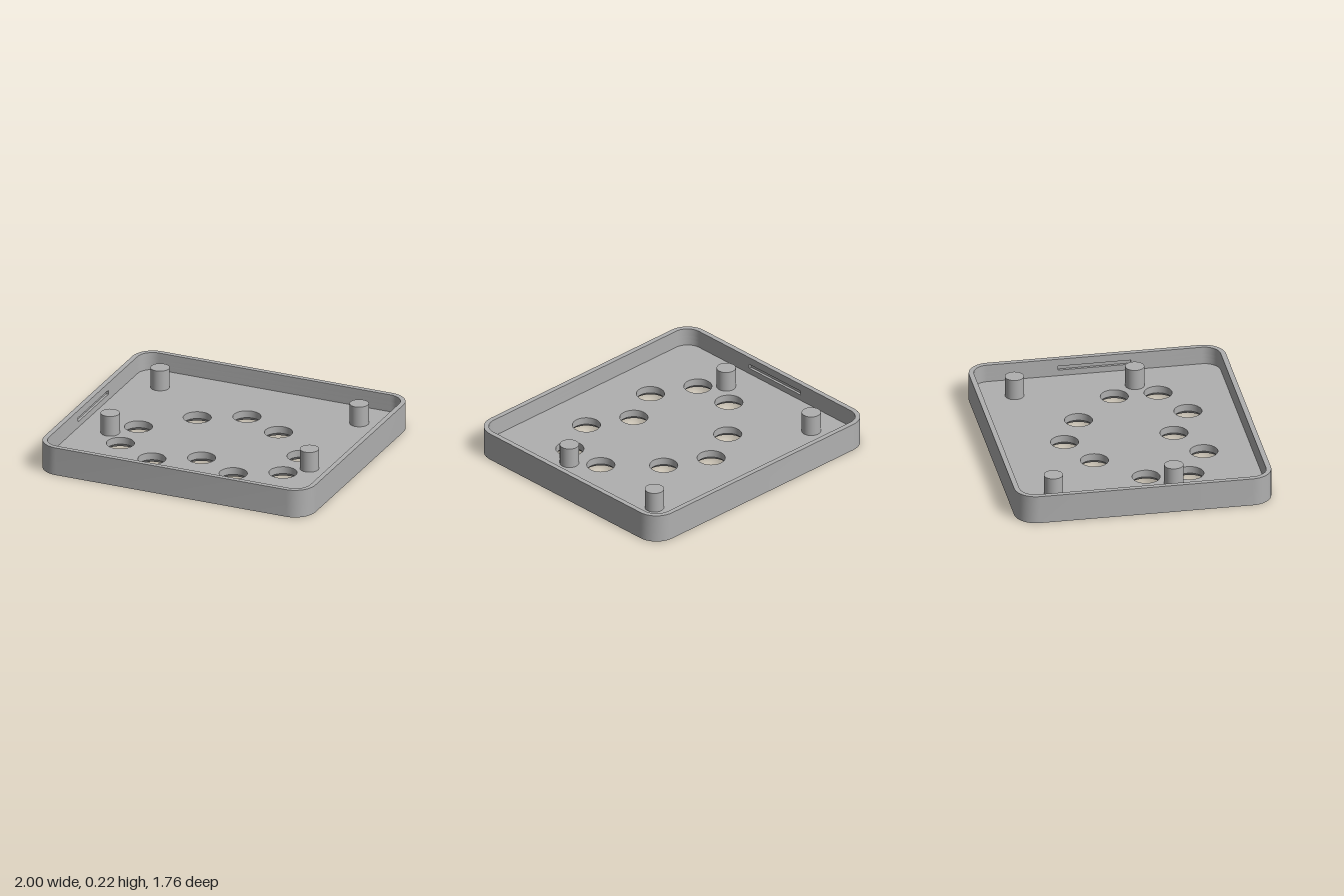
import * as THREE from 'three';
import { mergeGeometries, toCreasedNormals } from 'three/addons/utils/BufferGeometryUtils.js';

const HEIGHT = 0.2, FLOOR = 0.075, CHAMFER = 0.025;
const INNER_X = 0.965, GROOVE_Z = 0.25, GROOVE_Y = [0.117, 0.147], GROOVE_DEPTH = 0.018;

// Rounded rectangle in the x-z plane, with extra points at the groove ends
function roundedLoop(hx, hz, r) {
  const pts = [];
  [[1, 1], [-1, 1], [-1, -1], [1, -1]].forEach(([sx, sz], k) => {
    for (let i = 0; i <= 10; i++) {
      const a = (k + i / 10) * Math.PI / 2;
      pts.push(new THREE.Vector2(sx * (hx - r) + r * Math.cos(a), sz * (hz - r) + r * Math.sin(a)));
    }
    if (k % 2) pts.push(new THREE.Vector2(sx * hx, sz * GROOVE_Z), new THREE.Vector2(sx * hx, -sz * GROOVE_Z));
  });
  return pts;
}

function circleLoop([x, z], r, n = 40) {
  return Array.from({ length: n }, (_, i) => {
    const a = i / n * Math.PI * 2;
    return new THREE.Vector2(x + r * Math.cos(a), z + r * Math.sin(a));
  });
}

const at = (loop, y) => loop.map(p => new THREE.Vector3(p.x, y, p.y));

// Band of faces joining two matching closed loops; faces outward when a is below b
function skin(a, b, keep = () => true) {
  const pos = [];
  a.forEach((p, i) => {
    const j = (i + 1) % a.length;
    if (!keep(p, a[j], i)) return;
    for (const v of [p, b[i], a[j], a[j], b[i], b[j]]) pos.push(v.x, v.y, v.z);
  });
  const g = new THREE.BufferGeometry();
  g.setAttribute('position', new THREE.Float32BufferAttribute(pos, 3));
  return toCreasedNormals(g, 0.5);
}

// Horizontal face with holes
function cap(outline, holes, y, up) {
  const shape = new THREE.Shape(outline);
  shape.holes = holes.map(h => new THREE.Path(h));
  const g = new THREE.ShapeGeometry(shape).rotateX(Math.PI / 2).translate(0, y, 0);
  if (up) g.index.array.reverse();
  g.computeVertexNormals();
  return g;
}

export function createModel() {
  const model = new THREE.Group();
  model.name = 'enclosureTray';
  const grey = new THREE.MeshStandardMaterial({ color: 0xb0b0b0 });
  grey.name = 'grey plastic';
  const add = (name, geometry) => {
    const mesh = new THREE.Mesh(geometry, grey);
    mesh.name = name;
    model.add(mesh);
    return mesh;
  };

  const outer = roundedLoop(1, 0.88, 0.15);
  const inner = roundedLoop(INNER_X, 0.845, 0.11);
  const holes = [[0, -0.38], [0, 0.37]];
  for (const s of [-1, 1]) holes.push([s * 0.3, -0.23], [s * 0.6, 0.07], [s * 0.6, 0.37], [s * 0.3, 0.52]);

  // Walls and rim
  add('outerWall', skin(at(outer, 0), at(outer, HEIGHT)));
  add('rim', cap(outer, [inner], HEIGHT, true));
  const levels = [FLOOR, ...GROOVE_Y, HEIGHT];
  const inGroove = (p, q) => Math.max(Math.abs(p.z), Math.abs(q.z)) < GROOVE_Z + 0.001 && p.x === q.x;
  add('innerWall', mergeGeometries([0, 1, 2].map(k =>
    skin(at(inner, levels[k + 1]), at(inner, levels[k]), (p, q) => k !== 1 || !inGroove(p, q)))));

  // Shallow snap groove inside each side wall
  for (const s of [-1, 1]) {
    const rect = x => [[0, -1], [0, 1], [1, 1], [1, -1]].map(([k, e]) =>
      new THREE.Vector3(s * x, GROOVE_Y[k], s * e * GROOVE_Z));
    const open = rect(INNER_X), deep = rect(INNER_X + GROOVE_DEPTH);
    add(s > 0 ? 'leftGroove' : 'rightGroove', mergeGeometries([
      skin(deep, open),
      skin([deep[3], deep[2]], [deep[0], deep[1]], (p, q, i) => i === 0),
    ]));
  }

  // Floor plate with through holes chamfered on the underside
  add('floor', cap(inner, holes.map(h => circleLoop(h, 0.095)), FLOOR, true));
  add('underside', cap(outer, holes.map(h => circleLoop(h, 0.118)), 0, false));
  for (const h of holes) {
    const bore = circleLoop(h, 0.095);
    add('holeBore', skin(at(bore, FLOOR), at(bore, CHAMFER)));
    add('holeChamfer', skin(at(bore, CHAMFER), at(circleLoop(h, 0.118), 0)));
  }

  // Mounting posts
  for (const x of [-0.735, 0.735]) for (const z of [-0.59, 0.235]) {
    const h = 0.22 - FLOOR;
    add('mountingPost', new THREE.CylinderGeometry(0.065, 0.065, h, 40)).position.set(x, FLOOR + h / 2, z);
  }
  return model;
}
